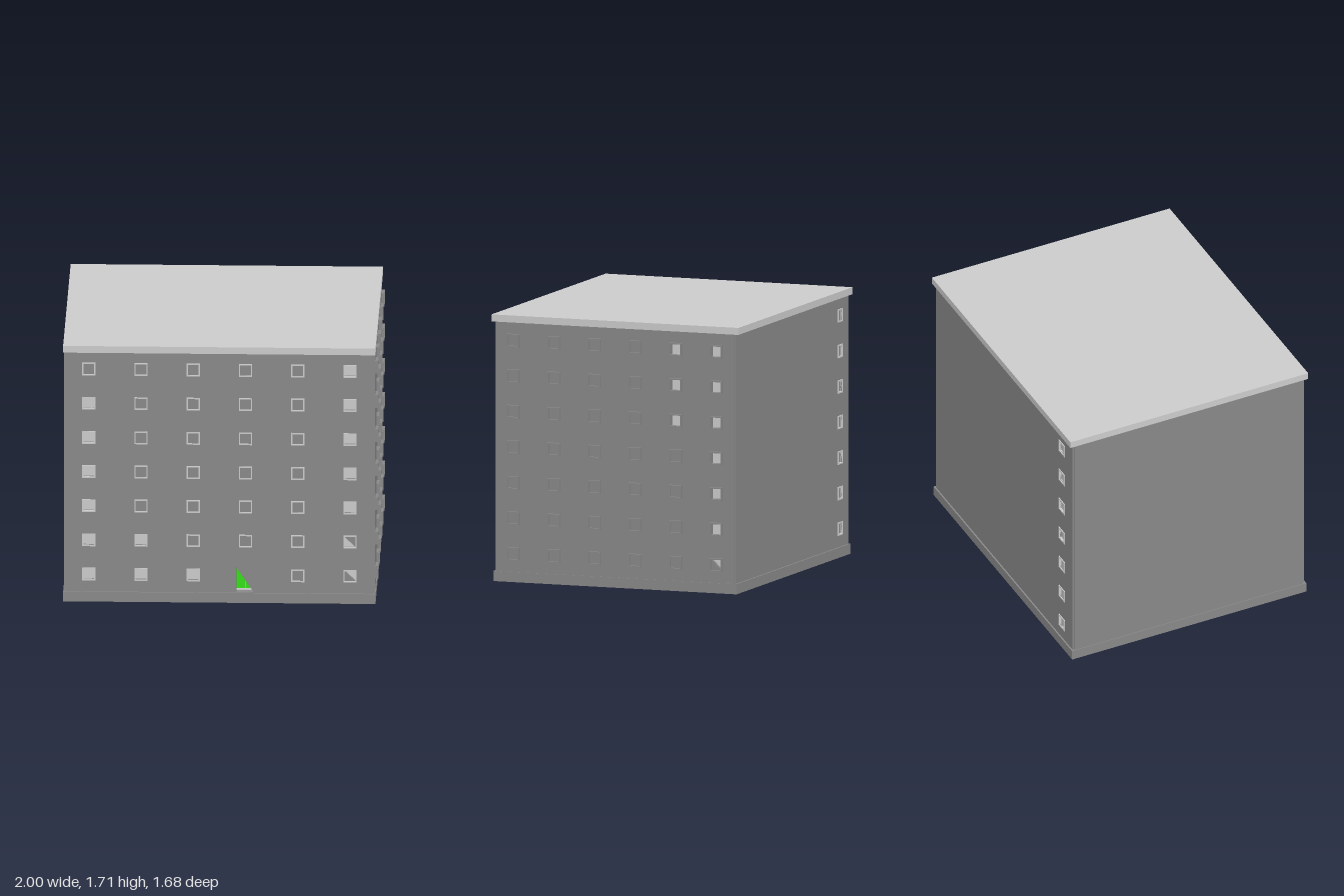
import * as THREE from 'three';

const light = new THREE.MeshStandardMaterial({ color: 0xcccccc });
const wallGrey = new THREE.MeshStandardMaterial({ color: 0x888888 });
const green = new THREE.MeshStandardMaterial({ color: 0x33dd14 });

const CX = -0.0075;            // the body sits slightly off centre
const BASE = 0.03, EAVES = 1.67, THICK = 0.08;
const SILL_ROW = 0.182, ROW_STEP = 0.228, WIN = 0.034, FRAME = 0.042;

function add(parent, name, geometry, material, x = 0, y = 0, z = 0) {
  const mesh = new THREE.Mesh(geometry, material);
  mesh.name = name;
  mesh.position.set(x, y, z);
  parent.add(mesh);
  return mesh;
}

const box = (w, h, d) => new THREE.BoxGeometry(w, h, d);
const polygon = (pts, Type = THREE.Path) => new Type(pts.map(([x, y]) => new THREE.Vector2(x, y)));
const rect = (x, y, hw, hh, Type) =>
  polygon([[x - hw, y - hh], [x + hw, y - hh], [x + hw, y + hh], [x - hw, y + hh]], Type);
const extrude = (shape, depth) => new THREE.ExtrudeGeometry(shape, { depth, bevelEnabled: false });

// Opening outline: F full square, L lower-left half, U upper-right half
function opening(kind, x, y) {
  const s = WIN;
  if (kind === 'L') return polygon([[x - s, y - s], [x + s, y - s], [x - s, y + s]]);
  if (kind === 'U') return polygon([[x + s, y - s], [x + s, y + s], [x - s, y + s]]);
  return rect(x, y, s, s);
}

const doorPoints = [[0.107, 0.07], [0.217, 0.07], [0.107, 0.235]];

// One wall with its windows. Rows run from top to bottom:
// '.' closed window, F/L/U open window, '-' no window.
function wall({ name, turn, out, half, rows = [], span = 0, proud = 0, frameMat = light, door = false }) {
  const side = new THREE.Group();
  side.name = name;
  side.rotation.y = turn;
  const shape = rect(0, (BASE + EAVES) / 2, half, (EAVES - BASE) / 2, THREE.Shape);

  const frameShape = rect(0, 0, FRAME, FRAME, THREE.Shape);
  frameShape.holes.push(rect(0, 0, WIN, WIN));
  const frameGeo = extrude(frameShape, proud + 0.01);
  const paneGeo = box(0.08, 0.08, 0.01);

  rows.forEach((row, r) => [...row].forEach((kind, c) => {
    if (kind === '-') return;
    const x = -span + (2 * span * c) / 5;
    const y = SILL_ROW + ROW_STEP * (6 - r);
    add(side, 'windowFrame', frameGeo, frameMat, x, y, out - 0.01);
    if (kind === '.') return;
    shape.holes.push(opening(kind, x, y));
    add(side, 'windowPane', paneGeo, light, x, y, out - 0.025);
  }));

  if (door) {
    shape.holes.push(polygon(doorPoints));
    add(side, 'doorPanel', box(0.13, 0.19, 0.01), green, 0.162, 0.155, out - 0.055);
    add(side, 'doorSill', box(0.11, 0.01, 0.01), light, 0.162, 0.075, out - 0.047);
    add(side, 'doorMullion', box(0.004, 0.08, 0.006), light, 0.167, 0.11, out - 0.05);
  }
  add(side, 'wallPanel', extrude(shape, THICK), wallGrey, 0, 0, out - THICK);
  return side;
}

export function createModel() {
  const building = new THREE.Group();
  building.name = 'building';
  const body = new THREE.Group();
  body.name = 'body';
  body.position.x = CX;
  building.add(body);

  // Walls; panels stop short of each other to leave notched corners
  body.add(
    wall({
      name: 'frontWall', turn: 0, out: 0.82, half: 0.977, span: 0.83, proud: 0.006, door: true,
      rows: ['.....F', 'F....F', 'F....F', 'F....F', 'F....F', 'FF...L', 'FFF-.U'],
    }),
    wall({
      name: 'leftWall', turn: Math.PI / 2, out: 0.9875, half: 0.81, span: 0.693, proud: 0.02, frameMat: wallGrey,
      rows: ['....FF', '....FF', '....FF', '.....F', '.....F', '.....F', '.....U'],
    }),
    wall({
      name: 'backWall', turn: Math.PI, out: 0.82, half: 0.977, span: 0.83, proud: 0.006,
      rows: Array(7).fill('-----F'),
    }),
    wall({ name: 'rightWall', turn: -Math.PI / 2, out: 0.9875, half: 0.81 }),
  );

  // Plinth and flat roof slab
  add(body, 'plinth', box(1.985, 0.065, 1.66), wallGrey, 0, 0.0325, 0);
  add(body, 'roof', box(1.985, 0.045, 1.685), light, 0, 1.6875, 0);
  return building;
}
